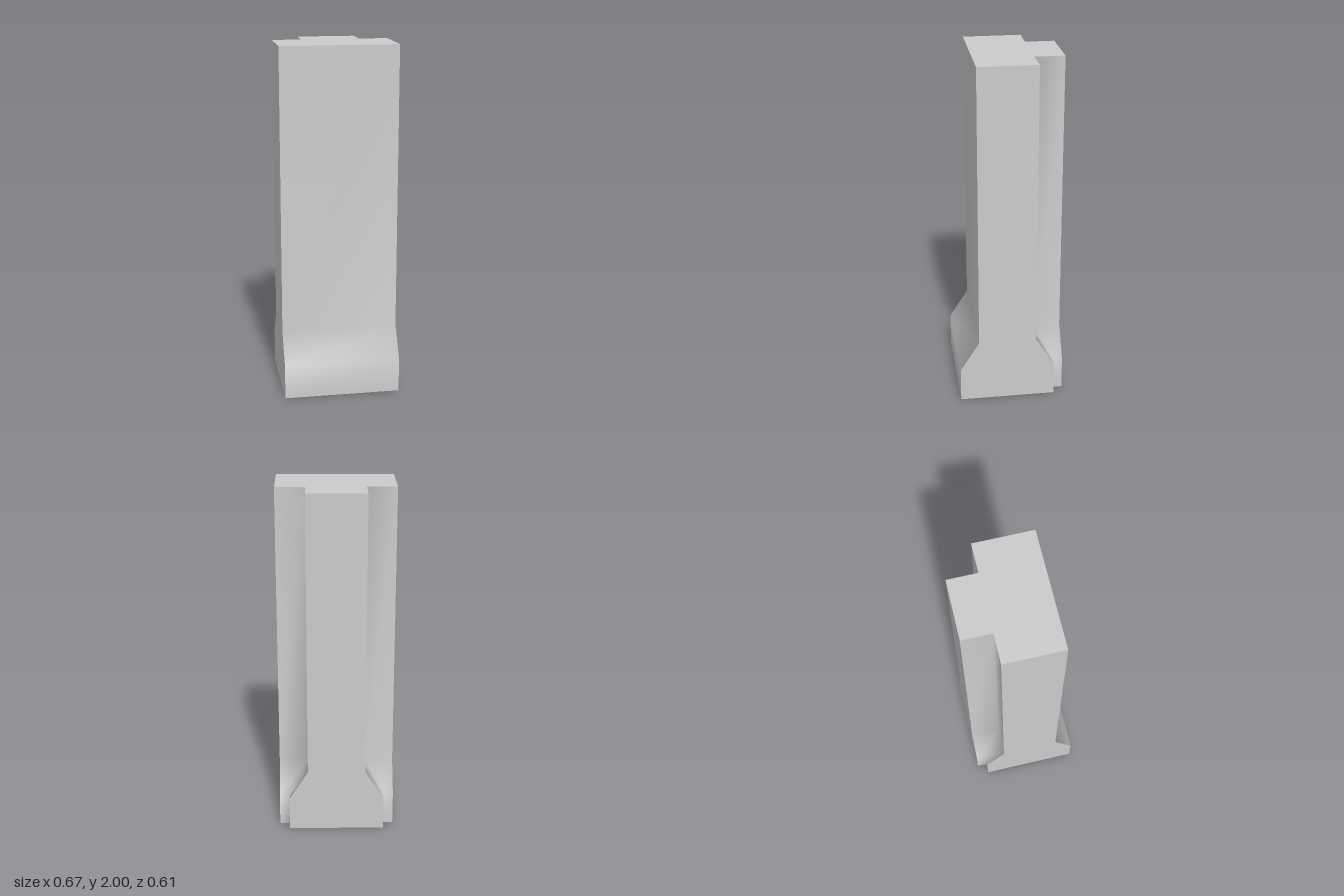
import * as THREE from 'three';

const HALF_WIDTH = 0.333, BACK = -0.305;

// Height of each level, and how far the foot flares out there
const LEVELS = [[0, 0.109], [0.195, 0.109], [0.37, 0], [2, 0]];

// T-shaped plan as [x, z], anticlockwise seen from above, starting at the front
function outline(flare) {
  const front = 0.195 + flare, ledge = -0.138 - flare, stem = 0.166 + flare;
  return [
    [-HALF_WIDTH, front], [HALF_WIDTH, front],
    [HALF_WIDTH, ledge], [stem, ledge], [stem, BACK],
    [-stem, BACK], [-stem, ledge], [-HALF_WIDTH, ledge],
  ];
}

// Wall through the given outline corners, smooth within itself
function wall(corners) {
  const positions = [], index = [], n = corners.length;
  LEVELS.forEach(([y, flare], row) => {
    const plan = outline(flare);
    corners.forEach((corner, col) => {
      const [x, z] = plan[corner];
      positions.push(x, y, z);
      if (row < LEVELS.length - 1 && col < n - 1) {
        const a = row * n + col;
        index.push(a, a + 1, a + n + 1, a, a + n + 1, a + n);
      }
    });
  });
  const geometry = new THREE.BufferGeometry();
  geometry.setAttribute('position', new THREE.Float32BufferAttribute(positions, 3));
  geometry.setIndex(index);
  geometry.computeVertexNormals();
  return geometry;
}

// Flat end face, looking up (sign 1) or down (sign -1)
function cap([y, flare], sign) {
  const shape = new THREE.Shape(outline(flare).map(([x, z]) => new THREE.Vector2(x, -sign * z)));
  return new THREE.ShapeGeometry(shape).rotateX(-sign * Math.PI / 2).translate(0, y, 0);
}

export function createModel() {
  const group = new THREE.Group();
  group.name = 'pillar';
  const material = new THREE.MeshStandardMaterial({ color: 0xcccccc });
  const add = (name, geometry) => {
    const mesh = new THREE.Mesh(geometry, material);
    mesh.name = name;
    group.add(mesh);
  };

  // Walls, each separated from its neighbours by a sharp edge
  add('frontWall', wall([0, 1]));
  add('leftWall', wall([1, 2]));
  add('leftNotch', wall([2, 3, 4]));
  add('backWall', wall([4, 5]));
  add('rightNotch', wall([5, 6, 7]));
  add('rightWall', wall([7, 0]));

  // End faces
  add('topFace', cap(LEVELS[LEVELS.length - 1], 1));
  add('bottomFace', cap(LEVELS[0], -1));
  return group;
}
